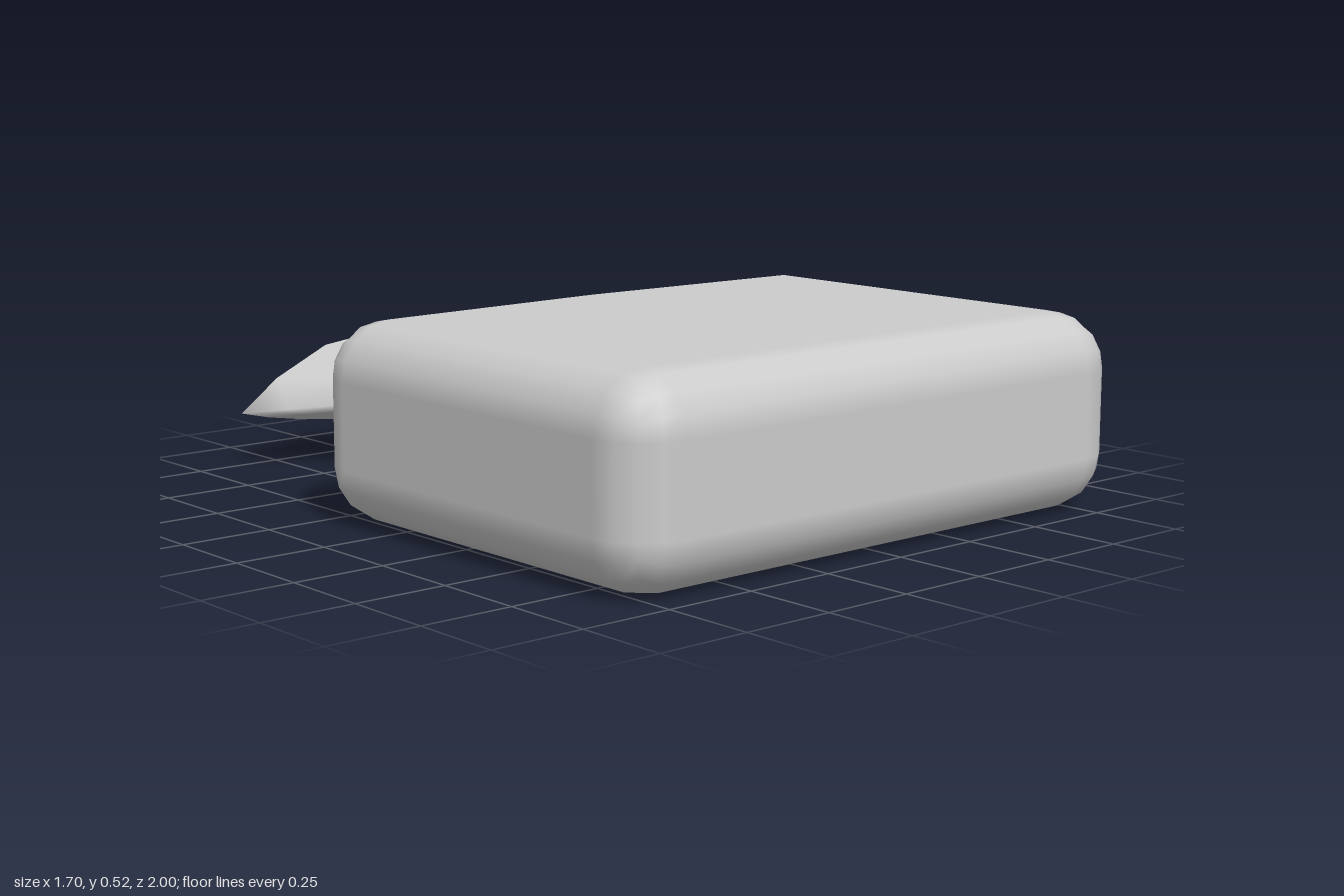
import * as THREE from 'three';
import { mergeVertices } from 'three/addons/utils/BufferGeometryUtils.js';

const material = new THREE.MeshStandardMaterial({ color: 0xcccccc });
const thin = new THREE.MeshStandardMaterial({ color: 0xcccccc, side: THREE.DoubleSide });
const NECK_Y = 0.25;

function part(name, geometry, mat) {
  const mesh = new THREE.Mesh(geometry, mat);
  mesh.name = name;
  return mesh;
}

// Rounded cushion: a gridded box whose outer cells wrap around the edges
function cushionGeometry(half, r, bulge) {
  const geo = new THREE.BoxGeometry(2, 2, 2, 6, 6, 6);
  const pos = geo.attributes.position;
  const normal = geo.attributes.normal;
  const flat = 1 / 3;
  for (let i = 0; i < pos.count; i++) {
    const core = [];
    const dir = [];
    [pos.getX(i), pos.getY(i), pos.getZ(i)].forEach((u, k) => {
      const inner = half[k] - r;
      core.push(THREE.MathUtils.clamp(u / flat, -1, 1) * inner);
      const turn = Math.max(0, Math.abs(u) - flat) / (1 - flat);
      dir.push(Math.sign(u) * Math.tan(turn * Math.PI / 4));
    });
    const n = new THREE.Vector3(...dir).normalize();
    const p = new THREE.Vector3(...core).addScaledVector(n, r);
    // The back swells gently towards the neck
    if (p.z < 0) p.z -= bulge * Math.max(0, 1 - Math.abs(p.x) / (half[0] - r));
    pos.setXYZ(i, p.x, p.y, p.z);
    normal.setXYZ(i, n.x, n.y, n.z);
  }
  return geo;
}

// Flattened open tube along z
function ovalTube(rx, ry, z0, z1, open) {
  const geo = new THREE.CylinderGeometry(1, 1, Math.abs(z1 - z0), 20, 1, open);
  geo.rotateX(Math.PI / 2);
  geo.scale(rx, ry, 1);
  geo.translate(0, NECK_Y, (z0 + z1) / 2);
  return geo;
}

// Flared mouth: lofted from the oval neck to a wavy lip
function mouthGeometry() {
  const zNeck = -0.34, zLip = -1, lipY = 0.15, halfW = 0.61;
  const upper = [[0.61, 0], [0.58, 0.06], [0.45, 0.13], [0.29, 0.188], [0.14, 0.178],
    [-0.02, 0.166], [-0.16, 0.19], [-0.32, 0.17], [-0.49, 0.09]];
  const lower = [[-0.61, 0], [-0.52, -0.022], [-0.4, -0.042], [-0.24, -0.06], [-0.01, -0.06],
    [0.16, -0.03], [0.32, -0.06], [0.486, -0.095], [0.57, -0.06]];
  const loop = [...upper.map(p => [...p, 1]), ...lower.map(p => [...p, -1])];
  const rows = 6, n = loop.length, verts = [], index = [];
  for (let j = 0; j <= rows; j++) {
    const t = j / rows;
    loop.forEach(([x, dy, side]) => {
      const c = x / halfW;
      const neckY = NECK_Y + side * 0.042 * Math.sqrt(Math.max(0, 1 - c * c));
      verts.push(
        THREE.MathUtils.lerp(c * 0.1, x, t),
        THREE.MathUtils.lerp(neckY, lipY + dy, t),
        THREE.MathUtils.lerp(zNeck, zLip, t));
    });
  }
  for (let j = 0; j < rows; j++) {
    for (let i = 0; i < n; i++) {
      const a = j * n + i, b = j * n + (i + 1) % n;
      index.push(a, a + n, b, b, a + n, b + n);
    }
  }
  const geo = new THREE.BufferGeometry();
  geo.setAttribute('position', new THREE.Float32BufferAttribute(verts, 3));
  geo.setIndex(index);
  const merged = mergeVertices(geo);
  merged.computeVertexNormals();
  return merged;
}

export function createModel() {
  const model = new THREE.Group();
  model.name = 'cushion';

  const body = part('body', cushionGeometry([0.85, 0.2625, 0.64], 0.15, 0.03), material);
  body.position.set(0, 0.2625, 0.36);
  model.add(body);

  // Short neck with a raised collar
  model.add(part('neck', ovalTube(0.095, 0.04, -0.28, -0.345, true), thin));
  model.add(part('collar', ovalTube(0.106, 0.05, -0.315, -0.342, false), material));

  model.add(part('mouth', mouthGeometry(), thin));
  return model;
}
